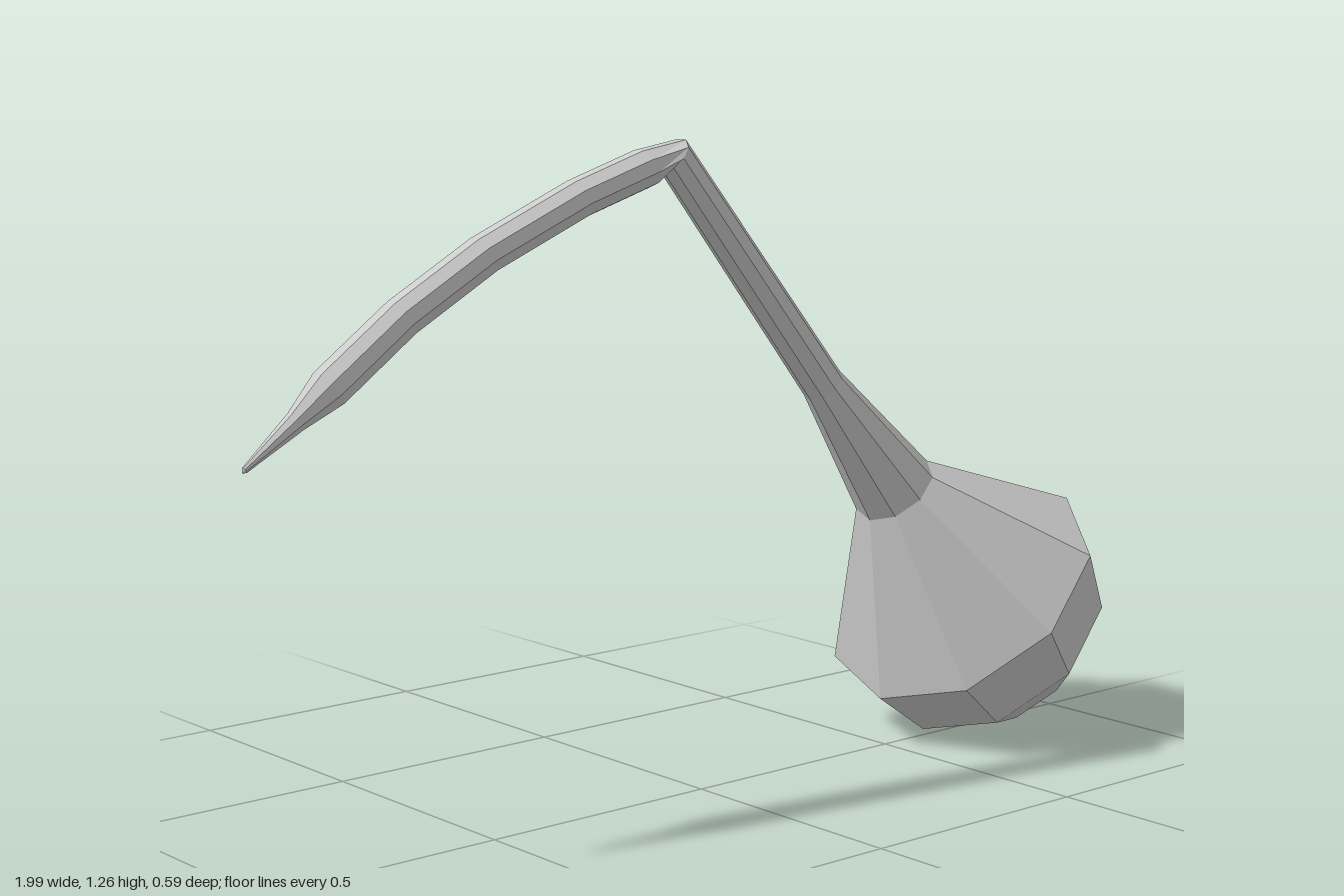
import * as THREE from 'three';

const SIDES = 9;

// Ring of vertices: centre, radius, and tilt of its "up" direction in the xy plane (degrees)
function ringPoints([x, y, z, r, tilt]) {
  const a = THREE.MathUtils.degToRad(tilt);
  const points = [];
  for (let k = 0; k < SIDES; k++) {
    const t = ((k + 0.5) / SIDES) * Math.PI * 2;
    const up = r * Math.cos(t);
    points.push([x + up * Math.cos(a), y + up * Math.sin(a), z + r * Math.sin(t)]);
  }
  return points;
}

// Faceted skin through a row of rings
function loft(name, rings, material) {
  const positions = rings.flatMap((ring) => ringPoints(ring).flat());
  const index = [];
  for (let i = 0; i < rings.length - 1; i++) {
    for (let k = 0; k < SIDES; k++) {
      const n = (k + 1) % SIDES;
      const a = i * SIDES + k, b = i * SIDES + n;
      const c = a + SIDES, d = b + SIDES;
      if (rings[i][3] > 0) index.push(a, b, c);
      if (rings[i + 1][3] > 0) index.push(b, d, c);
    }
  }
  const geometry = new THREE.BufferGeometry();
  geometry.setAttribute('position', new THREE.Float32BufferAttribute(positions, 3));
  geometry.setIndex(index);
  geometry.computeVertexNormals();
  const mesh = new THREE.Mesh(geometry, material);
  mesh.name = name;
  return mesh;
}

export function createModel() {
  const group = new THREE.Group();
  group.name = 'bentStemPod';
  const material = new THREE.MeshStandardMaterial({ color: 0xcccccc, flatShading: true });

  // Rings shared by neighbouring parts
  const elbow = [-0.102, 1.244, 0.038, 0.037, 52];
  const neckEnd = [0.505, 0.545, 0.012, 0.088, 40.8];
  const bulbRadius = 0.3;
  const bulbRim = [0.712, 0.303, 0, bulbRadius, 40.8];

  // Curved arm, from its pointed tip to the elbow
  const arm = [
    [-1.0, 0.745, -0.02, 0, 126],
    [-0.995, 0.75, -0.02, 0.006, 126],
    [-0.89, 0.82, -0.025, 0.02, 126],
    [-0.82, 0.87, -0.028, 0.038, 125],
    [-0.67, 0.98, -0.024, 0.038, 123],
    [-0.5, 1.08, -0.012, 0.038, 120],
    [-0.3, 1.172, 0.009, 0.038, 115],
    [-0.162, 1.222, 0.03, 0.038, 115],
    elbow,
  ];
  group.add(loft('arm', arm, material));

  // Straight stem widening into the neck
  const stem = [elbow, [0.298, 0.778, 0.02, 0.043, 40.8], neckEnd];
  group.add(loft('stem', stem, material));

  // Conical shoulder and rounded end of the bulb
  const bulb = [neckEnd, bulbRim];
  const axis = THREE.MathUtils.degToRad(bulbRim[4] - 90);
  for (const degrees of [30, 60, 90]) {
    const t = THREE.MathUtils.degToRad(degrees);
    const along = bulbRadius * Math.sin(t);
    bulb.push([
      bulbRim[0] + along * Math.cos(axis),
      bulbRim[1] + along * Math.sin(axis),
      -0.005 * Math.sin(t),
      degrees === 90 ? 0 : bulbRadius * Math.cos(t),
      bulbRim[4],
    ]);
  }
  group.add(loft('bulb', bulb, material));

  return group;
}
